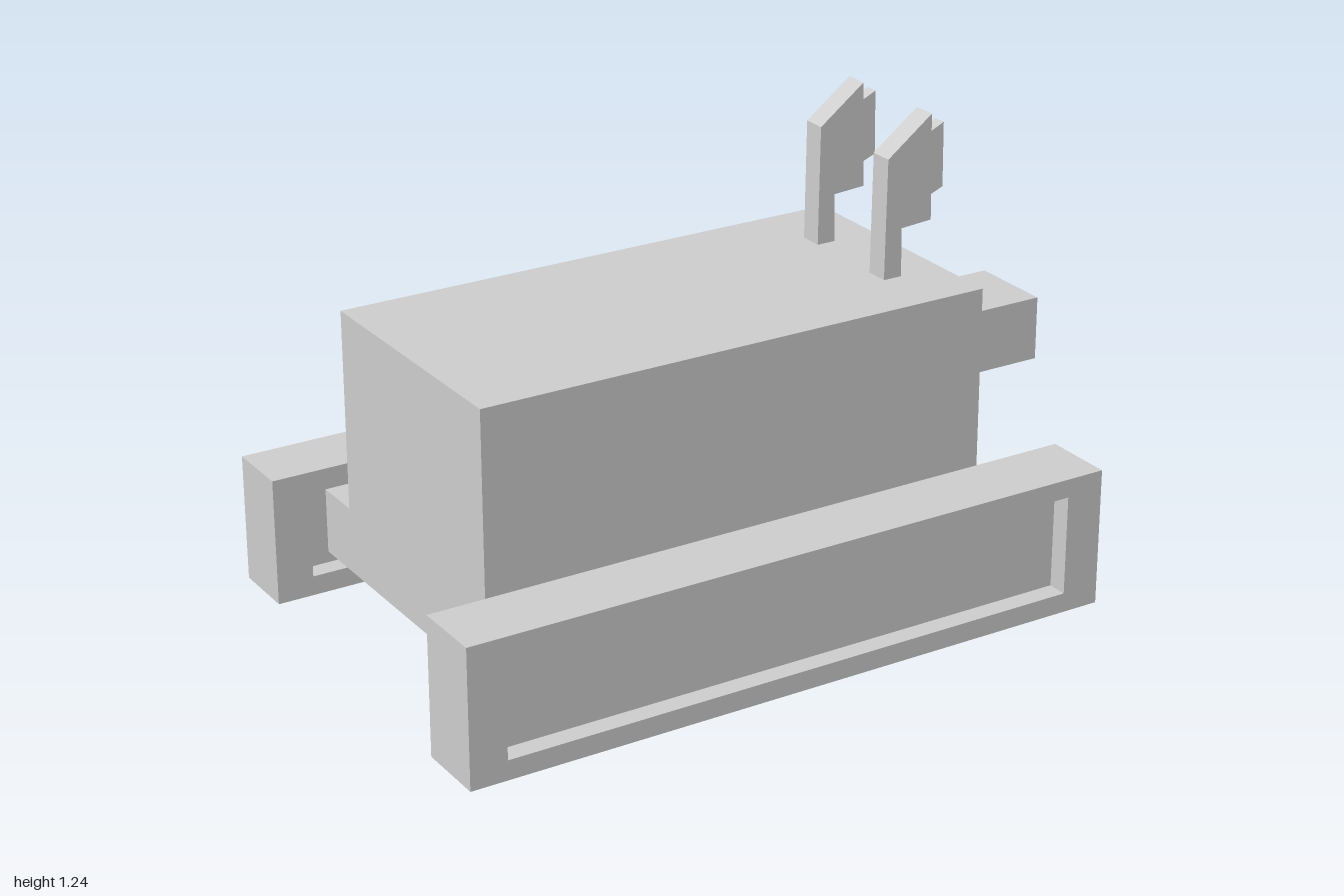
import * as THREE from 'three';

const grey = new THREE.MeshStandardMaterial({ color: 0xcccccc, flatShading: true });

// Closed polygon from [a, b] points
const polygon = (points) => new THREE.Shape(points.map(([a, b]) => new THREE.Vector2(a, b)));

const rectangle = (a0, a1, b0, b1) => [[a0, b0], [a1, b0], [a1, b1], [a0, b1]];

// Straight extrusion of an xy outline between z0 and z1
function slab(name, outline, z0, z1, hole) {
  const shape = polygon(outline);
  if (hole) shape.holes.push(polygon(hole));
  const geometry = new THREE.ExtrudeGeometry(shape, { depth: z1 - z0, bevelEnabled: false });
  geometry.translate(0, 0, z0);
  const mesh = new THREE.Mesh(geometry, grey);
  mesh.name = name;
  return mesh;
}

// Extrusion of a zy outline along x (outline given as [z, y])
function beam(name, outline, x0, x1, hole) {
  const flip = (points) => points.map(([z, y]) => [-z, y]);
  const mesh = slab(name, flip(outline), 0, x1 - x0, hole && flip(hole));
  mesh.geometry.rotateY(Math.PI / 2);
  mesh.geometry.translate(x0, 0, 0);
  return mesh;
}

// Track block: a frame with a panel sunk on both faces
function track(name, x0, x1, y0, y1, z0, z1) {
  const group = new THREE.Group();
  group.name = name;
  const opening = rectangle(x0 + 0.1, x1 - 0.105, y0 + 0.053, y1 - 0.05);
  const depth = 0.055;
  group.add(
    slab('trackFrame', rectangle(x0, x1, y0, y1), z0, z1, opening),
    slab('trackPanel', opening, z0 + depth, z1 - depth),
  );
  return group;
}

export function createModel() {
  const model = new THREE.Group();
  model.name = 'trackedVehicle';

  // Hull: tall body with a wide base reaching into the tracks
  model.add(beam('hull', [
    [-0.5, 0.1], [0.49, 0.1], [0.49, 0.277], [0.357, 0.277],
    [0.357, 0.817], [-0.363, 0.817], [-0.363, 0.277], [-0.5, 0.277],
  ], -0.805, 0.632));

  // Tracks
  model.add(track('leftSideTrack', -1, 0.825, 0, 0.373, 0.434, 0.627));
  model.add(track('rightSideTrack', -0.975, 0.795, 0.015, 0.361, -0.629, -0.448));

  // Hollow square barrel
  model.add(beam('barrel', rectangle(-0.121, 0.114, 0.461, 0.635), 0.632, 1,
    rectangle(-0.093, 0.087, 0.488, 0.608)));

  // Pair of upright posts with slanted heads and small front plates
  const post = [
    [0.455, 0.81], [0.508, 0.81], [0.506, 0.947], [0.596, 0.953],
    [0.59, 1.236], [0.46, 1.138],
  ];
  const plate = [[0.592, 1.01], [0.64, 1.03], [0.638, 1.202], [0.59, 1.18]];
  for (const z of [0.145, -0.155]) {
    const head = new THREE.Group();
    head.name = 'sensorPost';
    head.add(
      slab('postBody', post, z - 0.032, z + 0.032),
      slab('frontPlate', plate, z - 0.018, z + 0.018),
    );
    model.add(head);
  }
  return model;
}
